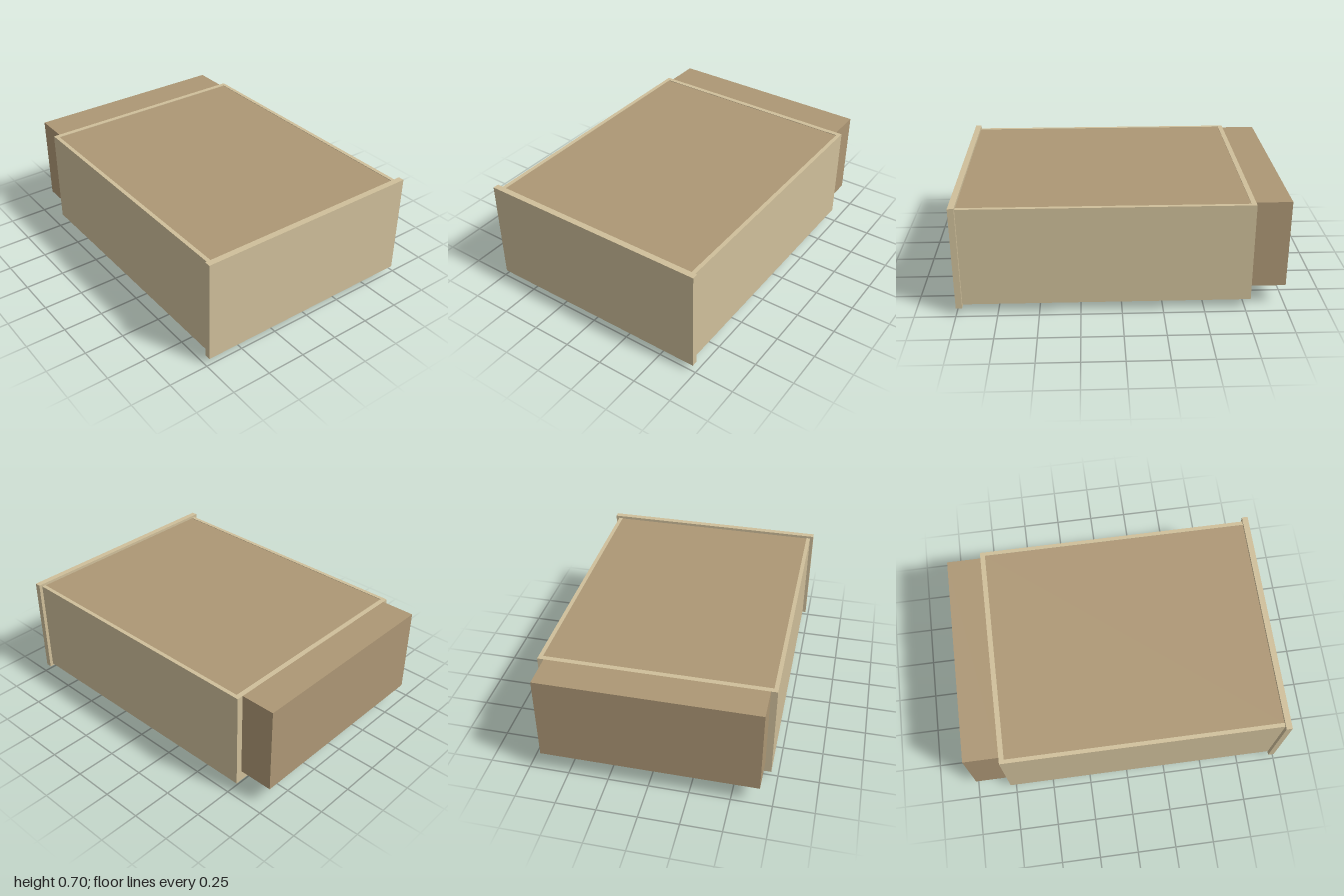
import * as THREE from 'three';

const cream = new THREE.MeshStandardMaterial({ color: 0xcfbf9a });
const brown = new THREE.MeshStandardMaterial({ color: 0xad9775 });

export function createModel() {
  const model = new THREE.Group();

  // Box given by its lower and upper corners
  const box = (name, material, [x0, y0, z0], [x1, y1, z1]) => {
    const mesh = new THREE.Mesh(new THREE.BoxGeometry(x1 - x0, y1 - y0, z1 - z0), material);
    mesh.position.set((x0 + x1) / 2, (y0 + y1) / 2, (z0 + z1) / 2);
    mesh.name = name;
    model.add(mesh);
    return mesh;
  };
  // Round rod lying along z
  const rod = (name, radius, length, x, y, z) => {
    const mesh = new THREE.Mesh(new THREE.CylinderGeometry(radius, radius, length, 16), cream);
    mesh.rotation.x = Math.PI / 2;
    mesh.position.set(x, y, z);
    mesh.name = name;
    model.add(mesh);
  };

  // Front board, slightly larger than the case
  box('frontPanel', cream, [-0.732, 0.045, 0.962], [0.732, 0.7, 1]);

  // Case walls
  box('leftWall', cream, [0.685, 0.06, -0.783], [0.71, 0.685, 0.962]);
  box('rightWall', cream, [-0.71, 0.06, -0.783], [-0.685, 0.685, 0.962]);
  box('backWall', cream, [-0.685, 0.06, -0.783], [0.685, 0.685, -0.752]);

  // Panel closing the top, set just below the rim
  box('topPanel', brown, [-0.685, 0.65, -0.752], [0.685, 0.682, 0.962]);

  // Bottom frame around the door opening
  const frame = new THREE.Shape();
  frame.moveTo(-0.685, -0.962).lineTo(0.685, -0.962).lineTo(0.685, 0.752).lineTo(-0.685, 0.752);
  const opening = new THREE.Path();
  opening.moveTo(-0.52, -0.84).lineTo(-0.52, 0.62).lineTo(0.56, 0.62).lineTo(0.56, -0.84);
  frame.holes.push(opening);
  const bottom = new THREE.Mesh(
    new THREE.ExtrudeGeometry(frame, { depth: 0.03, bevelEnabled: false }), cream);
  bottom.rotation.x = -Math.PI / 2;
  bottom.position.y = 0.062;
  bottom.name = 'bottomFrame';
  model.add(bottom);

  // Narrower box projecting at the back
  box('rearBox', brown, [-0.67, 0.13, -1], [0.67, 0.685, -0.783]);

  // Door on the underside
  box('door', cream, [-0.56, 0.025, -0.662], [0.598, 0.058, 0.88]);

  // Hinge barrels with their leaves
  for (const z of [0.63, -0.42]) {
    rod('hingeBarrel', 0.009, 0.035, -0.577, 0.044, z);
    box('hingeLeaf', cream, [-0.588, 0.046, z - 0.017], [-0.558, 0.062, z + 0.017]);
  }

  // Bar handle on two posts
  rod('handleBar', 0.009, 0.18, 0.555, 0.009, 0.11);
  for (const z of [0.06, 0.16]) {
    box('handlePost', cream, [0.55, 0.009, z - 0.005], [0.56, 0.027, z + 0.005]);
  }
  return model;
}
